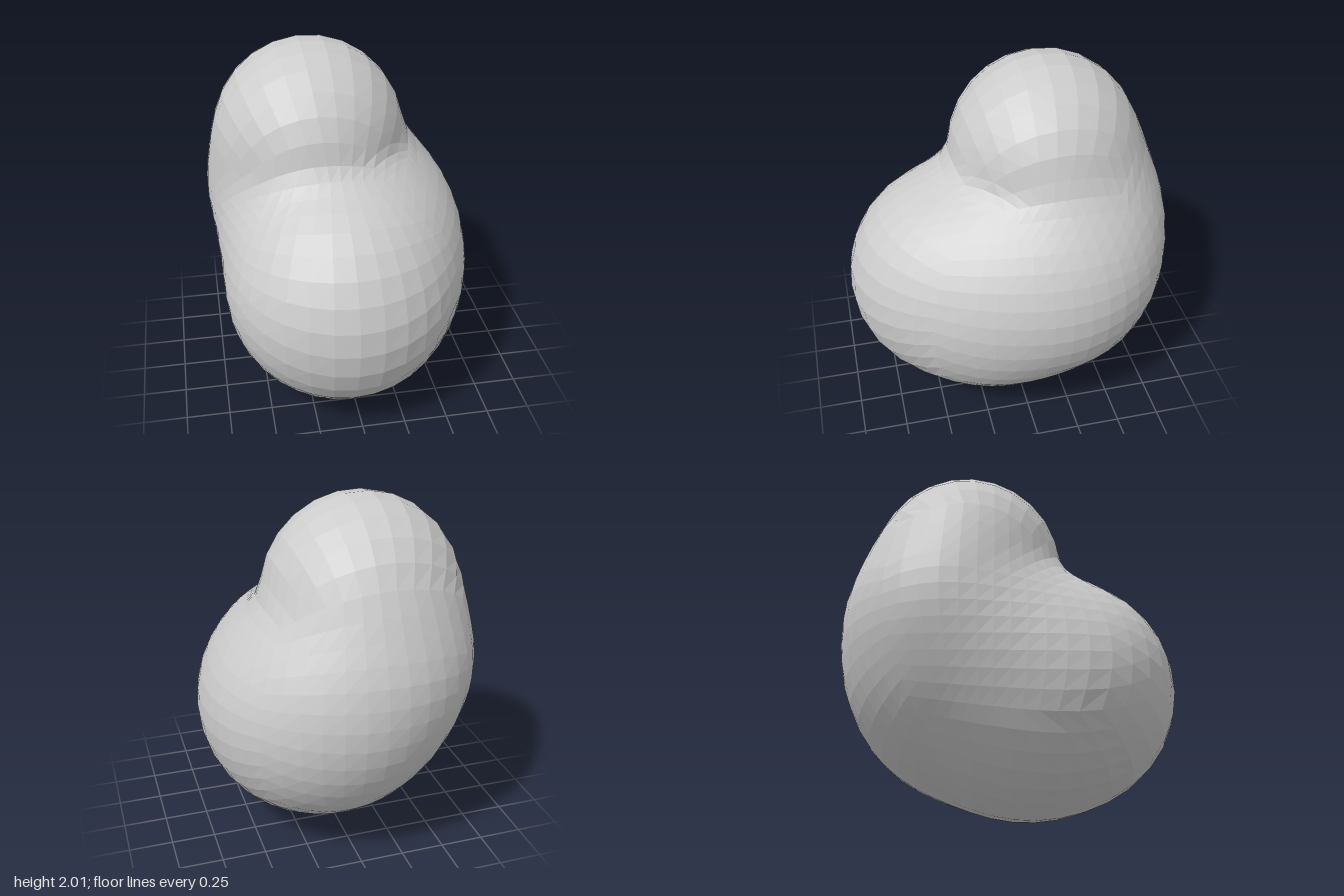
import * as THREE from 'three';

// Overlapping balls that melt into one body: x, y, z, radius
const BALLS = [
  [-0.15, 1.445, -0.235, 0.56], // upper lobe
  [-0.155, 1.1, -0.32, 0.61],   // back of the upper lobe
  [-0.05, 0.7, 0.3, 0.665],     // front lobe
  [0.1, 0.78, -0.2, 0.66],      // side lobe
  [-0.02, 0.9, -0.29, 0.65],    // back, joining side and upper lobes
  [0.07, 0.72, 0.05, 0.66],     // flank, joining side and front lobes
  [0.03, 0.635, 0.12, 0.61],    // underside
  [-0.1, 0.87, 0, 0.61],        // core
];
const BLEND = 0.13;
const CENTRE = new THREE.Vector3(-0.06, 0.95, -0.08);

// Signed distance to the blended balls
function distance(p) {
  let d = Infinity;
  for (const [x, y, z, r] of BALLS) {
    const e = Math.hypot(p.x - x, p.y - y, p.z - z) - r;
    const h = Math.max(BLEND - Math.abs(d - e), 0);
    d = Math.min(d, e) - (h * h) / (4 * BLEND);
  }
  return d;
}

// Point where a ray from the centre leaves the body
function surfacePoint(dir) {
  let near = 0, far = 2;
  const p = new THREE.Vector3();
  for (let i = 0; i < 30; i++) {
    const mid = (near + far) / 2;
    p.copy(CENTRE).addScaledVector(dir, mid);
    if (distance(p) < 0) near = mid;
    else far = mid;
  }
  return p;
}

export function createModel() {
  const group = new THREE.Group();
  group.name = 'blob';

  // A subdivided cube, inflated evenly onto the blended surface
  const geometry = new THREE.BoxGeometry(2, 2, 2, 12, 12, 12);
  const pos = geometry.attributes.position;
  const dir = new THREE.Vector3();
  const even = (t) => Math.tan((t * Math.PI) / 4);
  for (let i = 0; i < pos.count; i++) {
    dir.set(even(pos.getX(i)), even(pos.getY(i)), even(pos.getZ(i))).normalize();
    const p = surfacePoint(dir);
    pos.setXYZ(i, p.x, p.y, p.z);
  }
  geometry.computeVertexNormals();

  const body = new THREE.Mesh(
    geometry,
    new THREE.MeshStandardMaterial({ color: 0xcccccc, flatShading: true })
  );
  body.name = 'body';
  group.add(body);
  return group;
}
